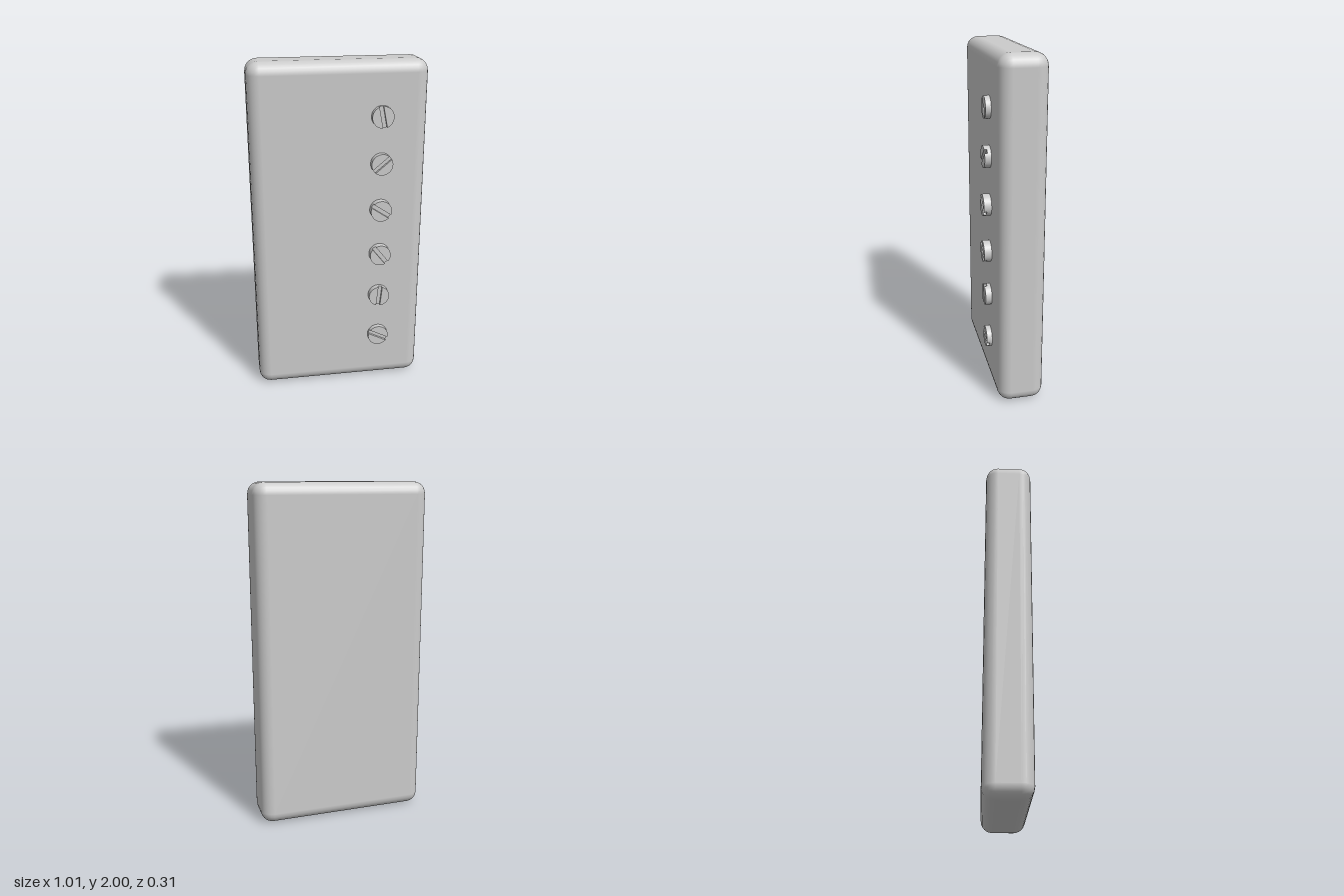
import * as THREE from 'three';
import { RoundedBoxGeometry } from 'three/addons/geometries/RoundedBoxGeometry.js';

const material = new THREE.MeshStandardMaterial({ color: 0xcccccc });
const RADIUS = 0.062, SLOT_HALF = 0.012, SLOT_DEPTH = 0.016, SEAT_Z = 0.09;

function addMesh(parent, name, geometry) {
  const mesh = new THREE.Mesh(geometry, material);
  mesh.name = name;
  parent.add(mesh);
  return mesh;
}

// Slotted round head: a solid base with two raised half discs either side of the slot
function createScrew(height, angle) {
  const screw = new THREE.Group();
  const baseHeight = height - SLOT_DEPTH;
  const base = new THREE.CylinderGeometry(RADIUS, RADIUS, baseHeight, 32);
  base.rotateX(Math.PI / 2).translate(0, 0, baseHeight / 2);
  addMesh(screw, 'screwBase', base);

  const start = Math.asin(SLOT_HALF / RADIUS);
  const half = new THREE.Shape();
  half.absarc(0, 0, RADIUS, start, Math.PI - start, false);
  half.closePath();
  const halfGeometry = new THREE.ExtrudeGeometry(half, { depth: SLOT_DEPTH, bevelEnabled: false, curveSegments: 16 });
  for (const turn of [0, Math.PI]) {
    const mesh = addMesh(screw, 'screwHalfHead', halfGeometry);
    mesh.position.z = baseHeight;
    mesh.rotation.z = turn;
  }
  screw.rotation.z = THREE.MathUtils.degToRad(angle);
  return screw;
}

export function createModel() {
  const model = new THREE.Group();
  model.name = 'pickup';

  // Cover with rounded edges
  const cover = addMesh(model, 'cover', new RoundedBoxGeometry(1.01, 2, 0.266, 3, 0.07));
  cover.position.set(0, 1, -0.022);

  // Row of adjustable screws: height up the cover, front of the head, slot angle
  const screws = [
    [0.31, 0.142, -27],
    [0.588, 0.148, 84],
    [0.863, 0.154, -52],
    [1.143, 0.154, -34],
    [1.422, 0.148, 40],
    [1.693, 0.142, 101],
  ];
  screws.forEach(([y, front, angle], i) => {
    const screw = createScrew(front - SEAT_Z, angle);
    screw.name = `poleScrew${i + 1}`;
    screw.position.set(0.238, y, SEAT_Z);
    model.add(screw);
  });
  return model;
}
